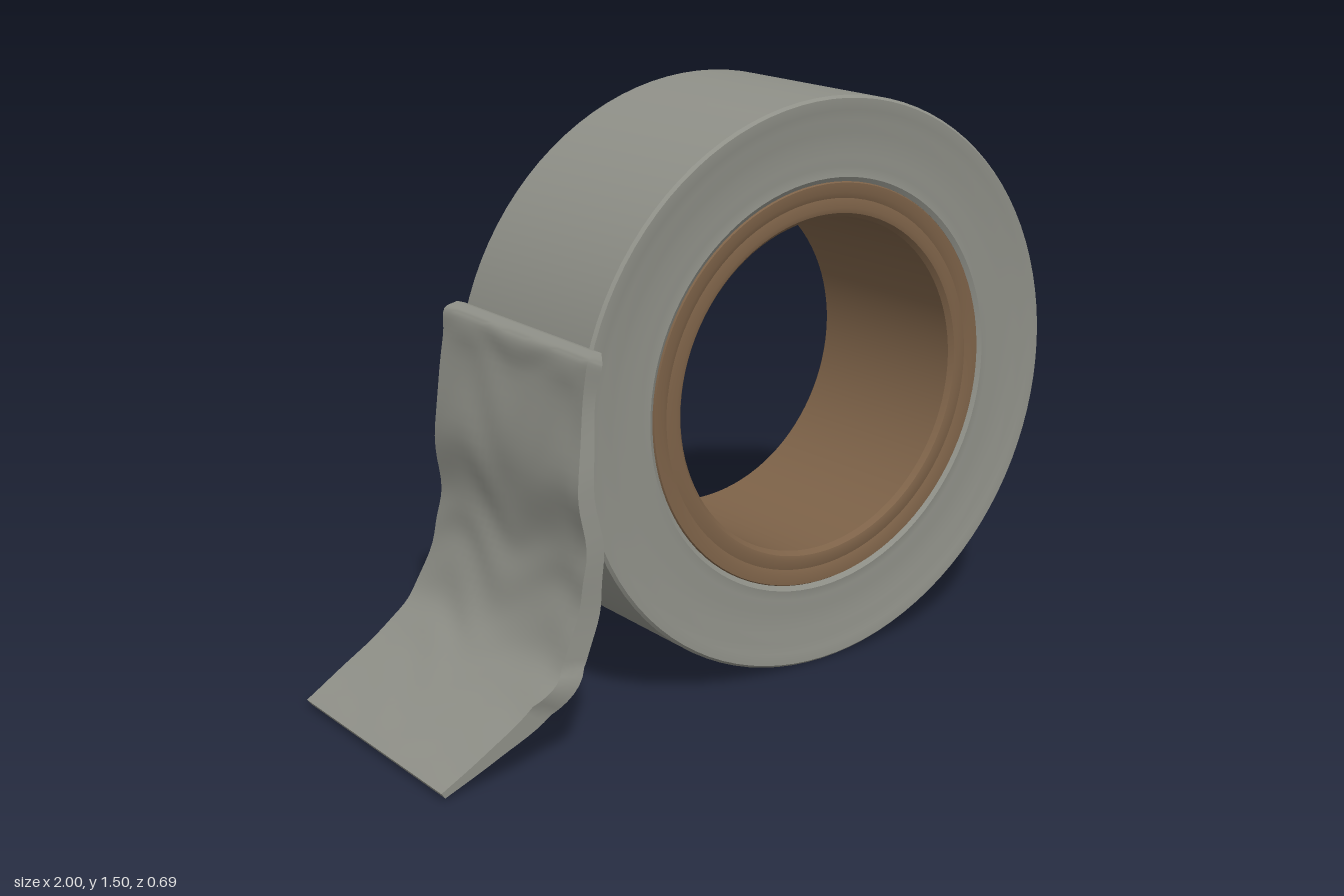
import * as THREE from 'three';
import { toCreasedNormals } from 'three/addons/utils/BufferGeometryUtils.js';

const tapeGrey = new THREE.MeshStandardMaterial({ color: 0x8f9088 });
tapeGrey.name = 'tapeGrey';
const cardboard = new THREE.MeshStandardMaterial({ color: 0x7d6248 });
cardboard.name = 'cardboard';

// Closed ring turned about the z axis; profile is [radius, z], counterclockwise
function ring(name, profile, material) {
  const points = [...profile, profile[0]].map(([r, z]) => new THREE.Vector2(r, z));
  const geometry = new THREE.LatheGeometry(points, 96);
  geometry.rotateX(Math.PI / 2);
  const mesh = new THREE.Mesh(toCreasedNormals(geometry, 0.6), material);
  mesh.name = name;
  mesh.position.set(0.23, 0.755, -0.042);
  mesh.scale.x = 1.022;
  return mesh;
}

// Smooth curve through [x, y] points
function curve(points) {
  return new THREE.CatmullRomCurve3(points.map(([x, y]) => new THREE.Vector3(x, y, 0)));
}

// Loose strip: a box bent between an outer and an inner curve
function looseEnd() {
  const outer = curve([[-0.53, 0.992], [-0.56, 0.975], [-0.57, 0.89], [-0.605, 0.68], [-0.593, 0.5],
    [-0.615, 0.38], [-0.67, 0.25], [-0.75, 0.175], [-0.87, 0.095], [-1, 0.022]]);
  const inner = curve([[-0.508, 0.985], [-0.52, 0.955], [-0.535, 0.88], [-0.56, 0.68], [-0.542, 0.5],
    [-0.556, 0.36], [-0.605, 0.235], [-0.7, 0.14], [-0.84, 0.07], [-0.99, 0.008]]);
  const front = curve([[0.285, 0], [0.305, 0], [0.3, 0], [0.325, 0], [0.333, 0],
    [0.33, 0], [0.335, 0], [0.335, 0], [0.33, 0], [0.325, 0]]);
  const back = curve([[-0.318, 0], [-0.33, 0], [-0.328, 0], [-0.322, 0], [-0.325, 0],
    [-0.33, 0], [-0.34, 0], [-0.335, 0], [-0.338, 0], [-0.33, 0]]);
  const geometry = new THREE.BoxGeometry(1, 1, 1, 2, 54, 24);
  const pos = geometry.attributes.position;
  for (let i = 0; i < pos.count; i++) {
    const t = 0.5 - pos.getY(i);
    const w = pos.getZ(i) + 0.5;
    const p = outer.getPoint(t).lerp(inner.getPoint(t), pos.getX(i) + 0.5);
    const z = THREE.MathUtils.lerp(back.getPoint(t).x, front.getPoint(t).x, w);
    // Faint creases that fade out towards both ends
    const crease = 0.003 * Math.sin(Math.PI * t) * Math.sin(t * 46 + 2.5 * Math.sin(w * 9));
    pos.setXYZ(i, p.x + crease, p.y, z);
  }
  const mesh = new THREE.Mesh(toCreasedNormals(geometry, 0.9), tapeGrey);
  mesh.name = 'looseEnd';
  return mesh;
}

export function createModel() {
  const group = new THREE.Group();
  group.name = 'tapeRoll';

  // Wound tape with shallow winding ridges on both sides
  const half = 0.278;
  const ridges = [[0.752, 0.008], [0.745, 0], [0.715, 0.001], [0.69, 0.008], [0.66, 0.005],
    [0.635, 0.013], [0.6, 0.006], [0.57, 0.012], [0.545, 0.008], [0.533, 0.016]];
  const frontSide = ridges.map(([r, dip]) => [r, half - dip]);
  const backSide = ridges.map(([r, dip]) => [r, dip - half]).reverse();
  group.add(ring('woundTape', [...frontSide, ...backSide], tapeGrey));

  // Cardboard core with softened rims
  const rim = [[0.536, 0.022], [0.53, 0.012], [0.505, 0.012], [0.49, 0.018], [0.465, 0.012],
    [0.452, 0.015], [0.441, 0.028]];
  const frontRim = rim.map(([r, dip]) => [r, half - dip]);
  const backRim = rim.map(([r, dip]) => [r, dip - half]).reverse();
  group.add(ring('core', [...frontRim, ...backRim], cardboard));

  group.add(looseEnd());
  return group;
}
